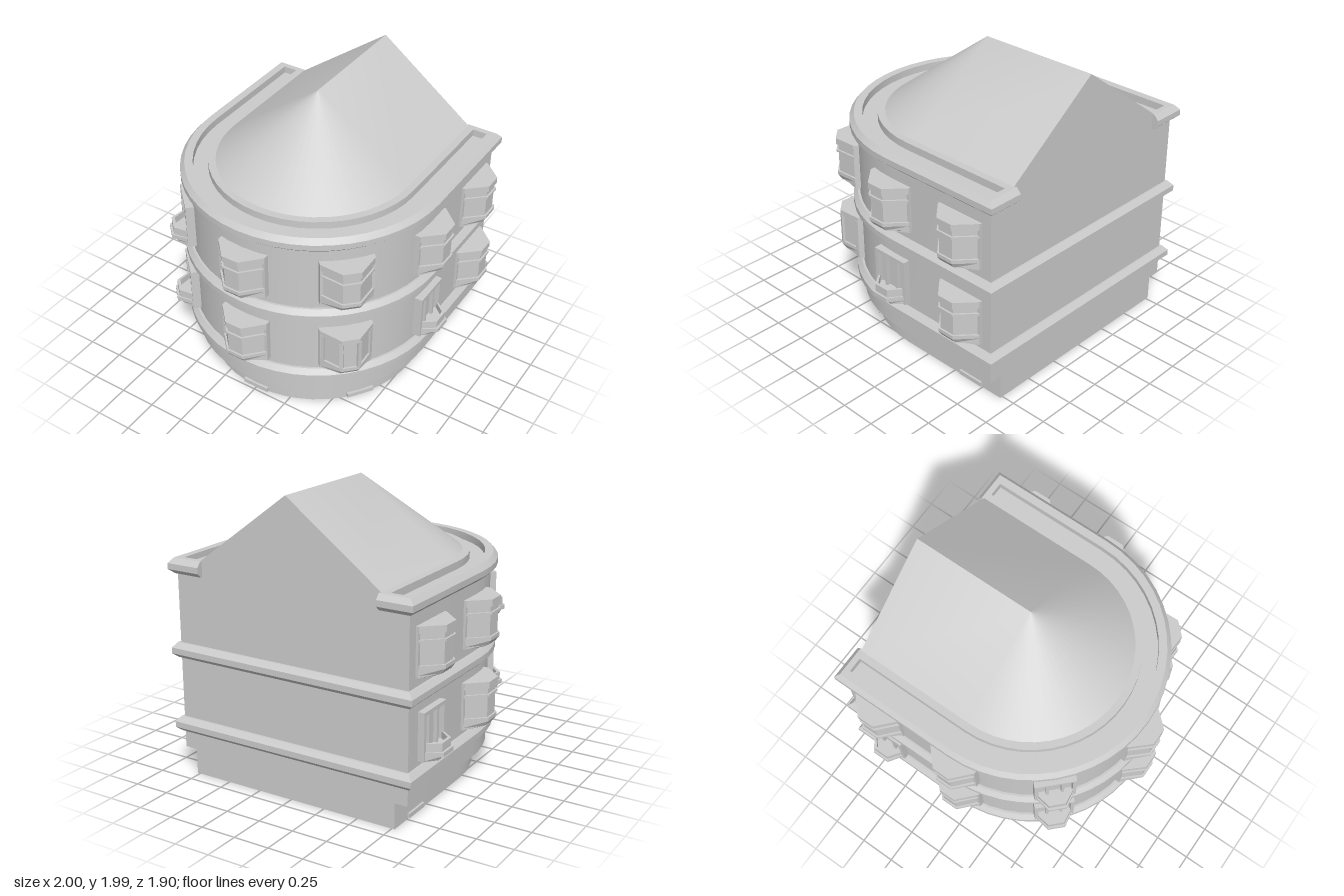
import * as THREE from 'three';
import { toCreasedNormals } from 'three/addons/utils/BufferGeometryUtils.js';

const material = new THREE.MeshStandardMaterial({ color: 0xcccccc });
const CENTRE_Z = -0.05; // centre of the rounded front
const BACK_Z = -0.905;
const WALL_R = 0.86;

// Skin a stack of matching outlines: levels = [[y, [[x, z], ...]], ...]
function loft(levels) {
  const pos = [];
  const rings = levels.map(([y, pts]) => pts.map(([x, z]) => new THREE.Vector3(x, y, z)));
  const tri = (a, b, c) => {
    const area = b.clone().sub(a).cross(c.clone().sub(a)).length();
    if (area > 1e-9) for (const p of [a, b, c]) pos.push(p.x, p.y, p.z);
  };
  const n = rings[0].length;
  for (let k = 0; k < rings.length - 1; k++) {
    const lo = rings[k], hi = rings[k + 1];
    for (let i = 0; i < n; i++) {
      const j = (i + 1) % n;
      tri(lo[i], lo[j], hi[j]);
      tri(lo[i], hi[j], hi[i]);
    }
  }
  const first = rings[0], last = rings[rings.length - 1];
  for (let i = 1; i < n - 1; i++) {
    tri(first[0], first[i + 1], first[i]);
    tri(last[0], last[i], last[i + 1]);
  }
  const g = new THREE.BufferGeometry();
  g.setAttribute('position', new THREE.Float32BufferAttribute(pos, 3));
  g.computeVertexNormals();
  return toCreasedNormals(g, 0.4);
}

function add(parent, name, geometry) {
  const mesh = new THREE.Mesh(geometry, material);
  mesh.name = name;
  parent.add(mesh);
  return mesh;
}

function box(parent, name, w, h, d, x, y, z) {
  const m = add(parent, name, new THREE.BoxGeometry(w, h, d));
  m.position.set(x, y, z);
  return m;
}

// U-shaped plan: half circle in front, straight sides, flat back
function plan(r, back = BACK_Z) {
  const pts = [];
  const n = 24;
  for (let i = 0; i <= n; i++) {
    const a = Math.PI * (i / n - 0.5);
    pts.push([r * Math.sin(a), CENTRE_Z + r * Math.cos(a)]);
  }
  pts.push([r, back], [-r, back]);
  return pts;
}

// Moulding profile: [height, radius]
const MOULDING = [[0, 0.86], [0, 0.872], [0.03, 0.905], [0.07, 0.905], [0.105, 0.875]];
const mouldBack = (r) => BACK_Z - (r - WALL_R);

// Splayed bay plan: half width hw, half front width ho, depth d
const bayPlan = (hw, ho, d, shoulder = 0.015) => [
  [-hw, -0.05], [-hw, shoulder], [-ho, d], [ho, d], [hw, shoulder], [hw, -0.05],
];

// Bay window, either with a transom bar or with tall framed panes
function bayWindow(tall) {
  const g = new THREE.Group();
  g.name = 'bayWindow';
  const full = bayPlan(0.175, 0.06, 0.14);
  const paneTop = tall ? 0.125 : 0.115;
  add(g, 'baySill', loft([
    [-0.16, bayPlan(0.175, 0.06, 0.085)], [-0.145, bayPlan(0.175, 0.06, 0.115)],
    [-0.11, full], [-0.085, full],
  ]));
  add(g, 'bayPanes', loft([[-0.09, bayPlan(0.16, 0.055, 0.127, 0.012)], [0.13, bayPlan(0.16, 0.055, 0.127, 0.012)]]));
  add(g, 'bayHead', loft([[paneTop, full], [0.16, full]]));
  box(g, 'bayBackFrame', 0.352, 0.32, 0.067, 0, 0, -0.0165);
  if (tall) {
    for (const s of [-1, 1]) {
      const post = box(g, 'bayPost', 0.025, 0.22, 0.018, s * 0.058, 0.02, 0.13);
      post.rotation.y = s * 0.4;
      const jamb = box(g, 'bayJamb', 0.025, 0.22, 0.018, s * 0.157, 0.02, 0.025);
      jamb.rotation.y = s * 0.8;
    }
  } else {
    add(g, 'bayTransom', loft([[0.06, full], [0.075, full]]));
  }
  return g;
}

// Flat window with mullions above a small splayed balcony
function balconyWindow() {
  const g = new THREE.Group();
  g.name = 'balconyWindow';
  box(g, 'balconyGlass', 0.26, 0.3, 0.06, 0, 0.005, -0.02);
  box(g, 'balconyHead', 0.275, 0.025, 0.095, 0, 0.1475, -0.0025);
  for (const s of [-1, 1]) {
    box(g, 'balconyJamb', 0.025, 0.32, 0.095, s * 0.125, 0, -0.0025);
    box(g, 'balconyMullion', 0.02, 0.27, 0.03, s * 0.05, 0.01, 0.02);
  }
  const p = (d, inset = 0) => bayPlan(0.135 - inset, 0.06 - inset / 2, d, 0.03);
  add(g, 'balcony', loft([
    [-0.16, p(0.1)], [-0.13, p(0.12)], [-0.13, p(0.14)], [-0.1, p(0.14)], [-0.1, p(0.125, 0.008)],
    [-0.045, p(0.125, 0.008)], [-0.045, p(0.105, 0.022)], [-0.095, p(0.105, 0.022)],
  ]));
  return g;
}

export function createModel() {
  const model = new THREE.Group();
  model.name = 'roundFrontedHouse';

  // Plinth and walls
  add(model, 'plinth', loft([[0, plan(0.77)], [0.175, plan(0.77)]]));
  add(model, 'walls', loft([[0.175, plan(WALL_R)], [1.4, plan(WALL_R)]]));

  // Floor bands running all the way round
  for (const y0 of [0.293, 0.815]) {
    add(model, 'floorBand', loft(MOULDING.map(([h, r]) => [y0 + h, plan(r, mouldBack(r))])));
  }

  // Cornice with a sunken gutter, returning a short way onto the back
  const y0 = 1.388, top = 1.493;
  add(model, 'cornice', loft([
    ...MOULDING.map(([h, r]) => [y0 + h, plan(r)]),
    [top, plan(0.82, -0.88)], [top - 0.05, plan(0.82, -0.88)],
    [top - 0.05, plan(0.72, -0.88)], [top, plan(0.72, -0.88)], [top, plan(0.67)],
  ]));
  for (const s of [-1, 1]) {
    add(model, 'corniceReturn', loft(MOULDING.map(([h, r]) => {
      const [a, b] = s > 0 ? [0.66, r] : [-r, -0.66];
      const z = mouldBack(r);
      return [y0 + h, [[a, -0.9], [b, -0.9], [b, z], [a, z]]];
    })));
  }

  // Roof: half cone in front running into a gabled ridge
  const eaves = plan(0.67);
  const ridge = eaves.map(([, z]) => [0, z < CENTRE_Z - 0.01 ? BACK_Z : CENTRE_Z]);
  add(model, 'roof', loft([[top, eaves], [1.99, ridge]]));

  // Openings set around the wall: [angle in degrees, z on straight sides, lower, upper]
  const bay = () => bayWindow(false);
  const tallBay = () => bayWindow(true);
  const spots = [
    [0, 0, bay, bay],
    [45, 0, tallBay, bay],
    [-45, 0, balconyWindow, balconyWindow],
    [90, CENTRE_Z, balconyWindow, bay],
    [-90, CENTRE_Z, bay, bay],
    [90, -0.655, bay, bay],
    [-90, -0.655, balconyWindow, bay],
  ];
  for (const [deg, z, lower, upper] of spots) {
    const a = THREE.MathUtils.degToRad(deg);
    [lower, upper].forEach((make, floor) => {
      const w = make();
      const wz = Math.abs(deg) === 90 ? z : CENTRE_Z + WALL_R * Math.cos(a);
      w.position.set(WALL_R * Math.sin(a), floor ? 1.14 : 0.592, wz);
      w.rotation.y = a;
      model.add(w);
    });
  }

  // Small vent plates low on the plinth
  for (const [deg, z] of [[0, 0.72], [55, 0.392], [-55, 0.392], [90, -0.65], [-90, -0.65]]) {
    const a = THREE.MathUtils.degToRad(deg);
    const vent = box(model, 'ventPlate', 0.19, 0.03, 0.03, 0.77 * Math.sin(a), 0.025, z);
    vent.rotation.y = a;
  }
  return model;
}
